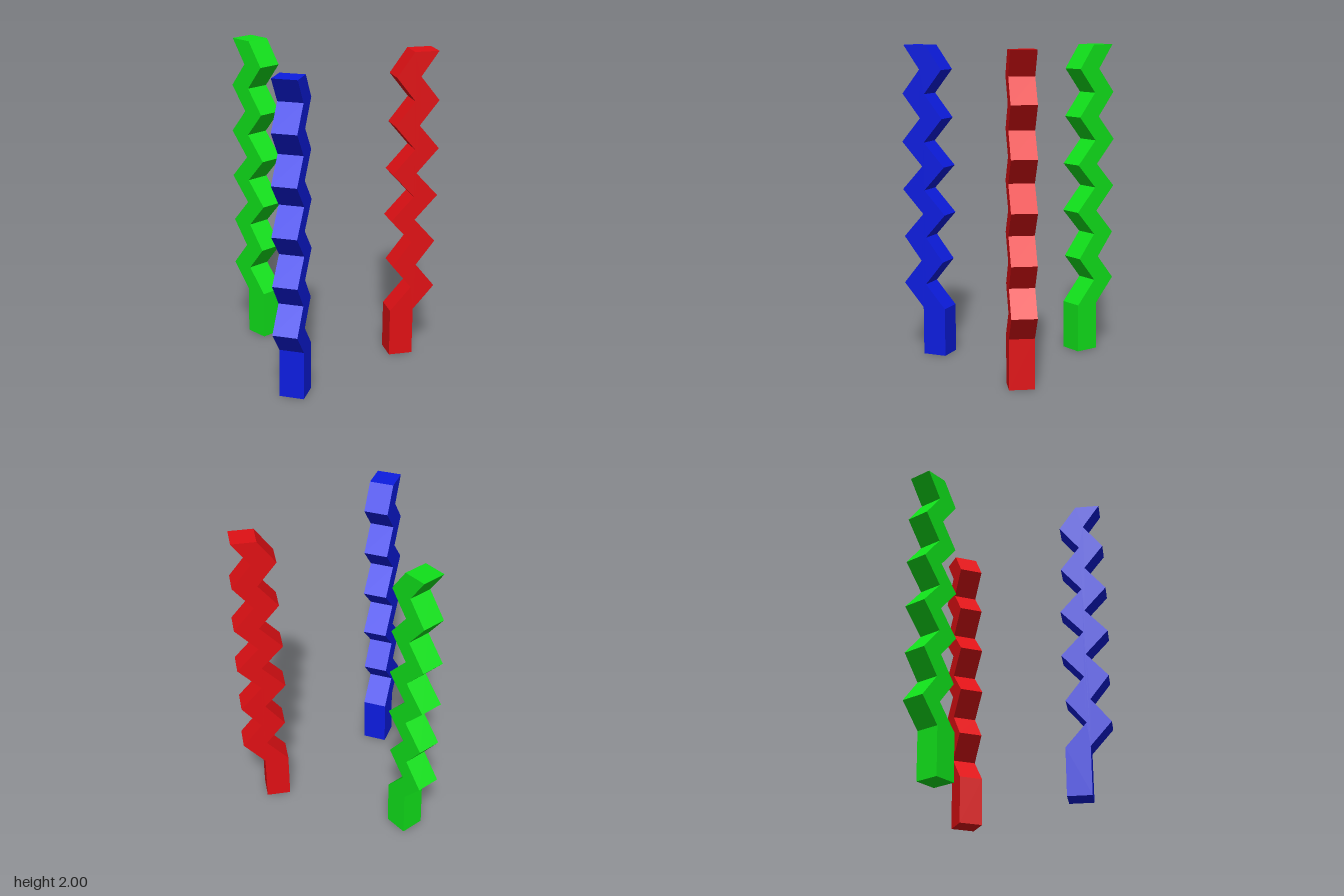
import * as THREE from 'three';

const WIDTH = 0.154;      // square section of each column
const BASE_HEIGHT = 0.31; // straight foot
const HEIGHT = 2;

// Outward offset of the inner edge at each bend, from the foot's top upward
const BENDS = [0.007, 0.142, 0.017, 0.137, 0, 0.144, 0.003, 0.144, 0.014, 0.137, 0.015, 0.125];

// Zigzag side outline, extruded to the column's width
function zigzagGeometry() {
  const step = (HEIGHT - BASE_HEIGHT) / (BENDS.length - 1);
  const inner = [new THREE.Vector2(BENDS[0], 0)];
  BENDS.forEach((u, i) => inner.push(new THREE.Vector2(u, BASE_HEIGHT + i * step)));
  const outer = inner.map((p) => new THREE.Vector2(p.x + WIDTH, p.y));
  const shape = new THREE.Shape([...outer, ...inner.reverse()]);
  const geometry = new THREE.ExtrudeGeometry(shape, { depth: WIDTH, bevelEnabled: false });
  return geometry.translate(0, 0, -WIDTH / 2);
}

export function createModel() {
  const group = new THREE.Group();
  group.name = 'zigzagColumns';
  const geometry = zigzagGeometry();

  // Three columns, each leaning outward in its own direction
  const columns = [
    { name: 'greenColumn', color: 0x10e01a, x: -0.306, z: -0.017, turn: Math.PI },
    { name: 'blueColumn', color: 0x0c1ce0, x: 0.368, z: 0.378, turn: -Math.PI / 3 },
    { name: 'redColumn', color: 0xe01014, x: 0.383, z: -0.381, turn: Math.PI / 3 },
  ];
  for (const { name, color, x, z, turn } of columns) {
    const material = new THREE.MeshStandardMaterial({ color, flatShading: true });
    const column = new THREE.Mesh(geometry, material);
    column.name = name;
    column.position.set(x, 0, z);
    column.rotation.y = turn;
    group.add(column);
  }
  return group;
}
